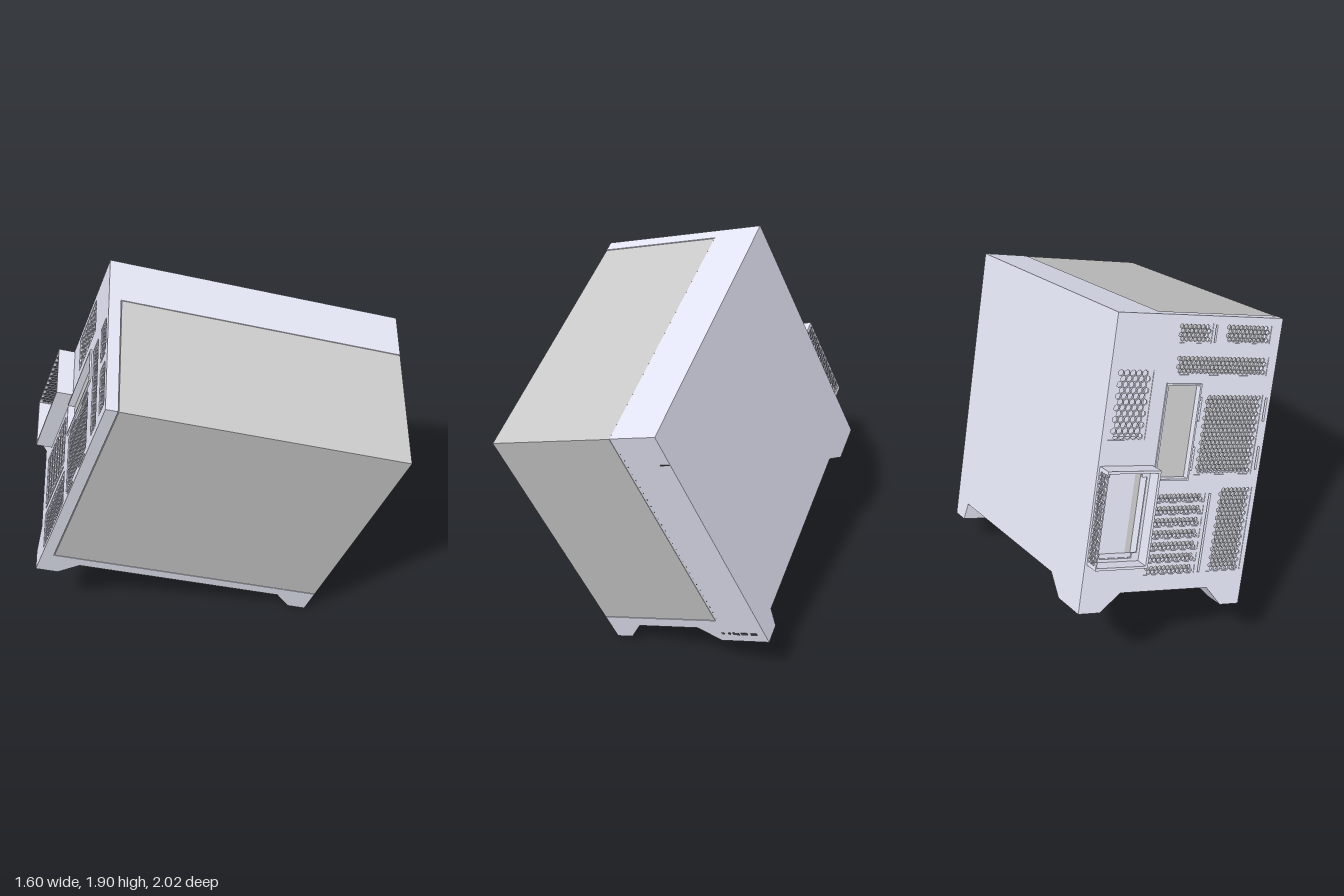
import * as THREE from 'three';

const W = 0.849, H = 1.37, D = 1.414, BASE = 0.09;   // case width, height, depth, underside height
const X = W / 2, Z = D / 2;
const GX = 0.198, GZ = -0.651, GY = 0.148;           // inner limits of the glass block
const shellMat = new THREE.MeshStandardMaterial({ color: 0xe4e6f5 });
const glassMat = new THREE.MeshStandardMaterial({ color: 0xcccccc });
const darkMat = new THREE.MeshStandardMaterial({ color: 0x4a4a50 });

function add(parent, name, geo, mat = shellMat) {
  const m = new THREE.Mesh(geo, mat);
  m.name = name;
  parent.add(m);
  return m;
}

// Box given by its minimum and maximum corners
function block(parent, name, [x0, y0, z0], [x1, y1, z1], mat) {
  const g = new THREE.BoxGeometry(x1 - x0, y1 - y0, z1 - z0);
  g.translate((x0 + x1) / 2, (y0 + y1) / 2, (z0 + z1) / 2);
  return add(parent, name, g, mat);
}

function rect(path, x0, y0, x1, y1) {
  return path.moveTo(x0, y0).lineTo(x1, y0).lineTo(x1, y1).lineTo(x0, y1).closePath();
}

// Thin plate centred on the origin, perforated with staggered hexagons
function hexPlate(w, h, pitch, depth) {
  const shape = rect(new THREE.Shape(), -w / 2, -h / 2, w / 2, h / 2);
  const r = pitch * 0.48, row = pitch * 0.866;
  const rows = Math.max(1, Math.floor((h - 2 * r) / row) + 1);
  const cols = Math.max(1, Math.floor((w - pitch * 1.5) / pitch) + 1);
  for (let j = 0; j < rows; j++) {
    for (let i = 0; i < cols; i++) {
      const cx = (i - (cols - 1) / 2 + (rows > 1 ? (j % 2 ? 0.25 : -0.25) : 0)) * pitch;
      const cy = (j - (rows - 1) / 2) * row;
      const hole = new THREE.Path();
      for (let k = 0; k < 6; k++) {
        const a = Math.PI / 6 - k * Math.PI / 3;
        const px = cx + r * Math.cos(a), py = cy + r * Math.sin(a);
        k ? hole.lineTo(px, py) : hole.moveTo(px, py);
      }
      hole.closePath();
      shape.holes.push(hole);
    }
  }
  return new THREE.ExtrudeGeometry(shape, { depth, bevelEnabled: false });
}

// Openings of the rear panel: [from its +x edge, from the top, to, to, hexagon pitch]
const vents = [
  [0.31, 0.035, 0.485, 0.125, 0.022],
  [0.555, 0.035, 0.795, 0.12, 0.022],
  [0.32, 0.18, 0.805, 0.268, 0.022],
  [0.495, 0.355, 0.805, 0.73, 0.022],
  [0.03, 0.25, 0.215, 0.565, 0.03],
  [0.64, 0.795, 0.825, 1.2, 0.022],
];
const slots = [];
for (let i = 0; i < 7; i++) slots.push([0.305, 0.818 + i * 0.057, 0.575, 0.86 + i * 0.057, 0.022]);
const slits = [[0.5, 0.04, 0.508, 0.12], [0.595, 0.82, 0.605, 1.2]];
for (const s of [0.472, 0.822]) {
  slits.push([s, 0.37, s + 0.01, 0.48], [s, 0.6, s + 0.01, 0.71]);
}
const ioBay = [0.295, 0.315, 0.46, 0.745];
const psuBay = [0.035, 0.705, 0.255, 1.11];

function rearPanel(parent) {
  const g = new THREE.Group();
  g.name = 'rearPanel';
  const shape = rect(new THREE.Shape(), -X, BASE, X, H);
  for (const [a, b, c, d] of [...vents, ...slots, ...slits, ioBay, psuBay]) {
    shape.holes.push(rect(new THREE.Path(), X - c, H - d, X - a, H - b));
  }
  const panel = new THREE.ExtrudeGeometry(shape, { depth: GZ + Z, bevelEnabled: false });
  add(g, 'rearFrame', panel.translate(0, 0, -Z));
  for (const [a, b, c, d, pitch] of [...vents, ...slots]) {
    const vent = hexPlate(c - a, d - b, pitch, 0.01);
    add(g, 'ventGrille', vent.translate(X - (a + c) / 2, H - (b + d) / 2, -Z + 0.003));
  }
  // Recessed connector plate with a raised rim
  const [a, b, c, d] = ioBay;
  block(g, 'connectorPlate', [X - c, H - d, -Z + 0.025], [X - a, H - b, -Z + 0.035], glassMat);
  const rim = rect(new THREE.Shape(), X - c - 0.008, H - d - 0.008, X - a + 0.008, H - b + 0.008);
  rim.holes.push(rect(new THREE.Path(), X - c, H - d, X - a, H - b));
  add(g, 'connectorRim', new THREE.ExtrudeGeometry(rim, { depth: 0.008, bevelEnabled: false })
    .translate(0, 0, -Z - 0.008));
  parent.add(g);
}

// Protruding power supply cage with a perforated outer side
function powerCage(parent) {
  const g = new THREE.Group();
  g.name = 'powerSupplyCage';
  const x0 = X - 0.275, x1 = X - 0.01, y0 = H - 1.137, y1 = H - 0.682, z0 = -Z - 0.08, t = 0.012;
  block(g, 'cageTop', [x0, y1 - t, z0], [x1, y1, -Z]);
  block(g, 'cageBottom', [x0, y0, z0], [x1, y0 + t, -Z]);
  block(g, 'cageInnerSide', [x0, y0 + t, z0], [x0 + t, y1 - t, -Z]);
  const side = hexPlate(0.08, y1 - y0 - 2 * t, 0.022, t / 2);
  side.rotateY(Math.PI / 2);
  add(g, 'cageGrille', side.translate(x1 - t / 2, (y0 + y1) / 2, -Z - 0.04));
  // Notched mounting frame at the mouth of the bay
  const mouth = rect(new THREE.Shape(), x0 + t, y0 + t, x1 - t, y1 - t);
  const l = x0 + 0.026, r = x1 - 0.026, b = y0 + 0.026, u = y1 - 0.026, n = 0.025;
  const hole = new THREE.Path();
  [[l + n, b], [r - n, b], [r - n, b + n], [r, b + n], [r, u - n], [r - n, u - n],
    [r - n, u], [l + n, u], [l + n, u - n], [l, u - n], [l, b + n], [l + n, b + n]]
    .forEach(([x, y], i) => (i ? hole.lineTo(x, y) : hole.moveTo(x, y)));
  mouth.holes.push(hole.closePath());
  add(g, 'mountingFrame', new THREE.ExtrudeGeometry(mouth, { depth: 0.008, bevelEnabled: false })
    .translate(0, 0, -Z - 0.01));
  parent.add(g);
}

// Tapered foot whose outer corner stays flush with the case corner
function foot(parent, name, sx, sz, topW, botW, topD, botD) {
  const g = new THREE.BoxGeometry(1, BASE, 1).translate(0.5, BASE / 2, 0.5);
  const p = g.attributes.position;
  for (let i = 0; i < p.count; i++) {
    const top = p.getY(i) > BASE / 2;
    const w = p.getX(i) * (top ? topW : botW), d = p.getZ(i) * (top ? topD : botD);
    // the unit box keeps its handedness and is shifted towards its corner
    p.setX(i, sx > 0 ? X - (top ? topW : botW) + w : -X + w);
    p.setZ(i, sz > 0 ? Z - (top ? topD : botD) + d : -Z + d);
  }
  g.computeVertexNormals();
  add(parent, name, g);
  const px = sx * (X - botW / 2), pz = sz * (Z - botD / 2), hw = botW / 2 - 0.015, hd = botD / 2 - 0.015;
  block(parent, name + 'Pad', [px - hw, -0.002, pz - hd], [px + hw, 0.004, pz + hd], darkMat);
}

export function createModel() {
  const model = new THREE.Group();
  model.name = 'computerCase';
  const body = new THREE.Group();
  body.name = 'tiltedCase';

  // Metal shell: side compartment and floor around the glass
  block(body, 'sideCompartment', [GX, BASE, GZ], [X, H, Z]);
  block(body, 'floor', [-X, BASE, GZ], [GX, GY, Z]);
  // Glass block filling the front corner, with a fine seam all round
  block(body, 'glassPanels', [-X, GY + 0.004, GZ + 0.004], [GX - 0.002, H - 0.002, Z]
    , glassMat);
  rearPanel(body);
  powerCage(body);

  foot(body, 'frontRightFoot', -1, 1, 0.17, 0.085, 0.18, 0.09);
  foot(body, 'frontLeftFoot', 1, 1, 0.35, 0.255, 0.13, 0.1);
  foot(body, 'rearRightFoot', -1, -1, 0.19, 0.1, 0.2, 0.11);
  foot(body, 'rearLeftFoot', 1, -1, 0.2, 0.11, 0.3, 0.2);

  // Ports on the wide front foot: two round, three slots
  for (const x of [0.2, 0.235]) {
    const port = new THREE.CylinderGeometry(0.008, 0.008, 0.004, 16).rotateX(Math.PI / 2);
    add(body, 'roundPort', port.translate(x, 0.055, Z), darkMat);
  }
  for (const x of [0.27, 0.315, 0.365]) {
    block(body, 'slotPort', [x - 0.017, 0.047, Z - 0.002], [x + 0.017, 0.063, Z + 0.002], darkMat);
  }
  // Small latch near the top of the front edge
  block(body, 'latch', [X - 0.05, 1.2, Z - 0.002], [X - 0.005, 1.205, Z + 0.002], darkMat);
  // Row of pinholes beside the front glass
  for (let i = 0; i < 28; i++) {
    const pin = new THREE.CylinderGeometry(0.003, 0.003, 0.002, 6).rotateX(Math.PI / 2);
    add(body, 'pinhole', pin.translate(GX + 0.012, 0.17 + i * 0.041, Z), darkMat);
  }

  body.rotation.set(0.421, Math.PI / 4, 0);
  body.position.set(0, 0.328, -0.29);
  model.add(body);
  return model;
}
